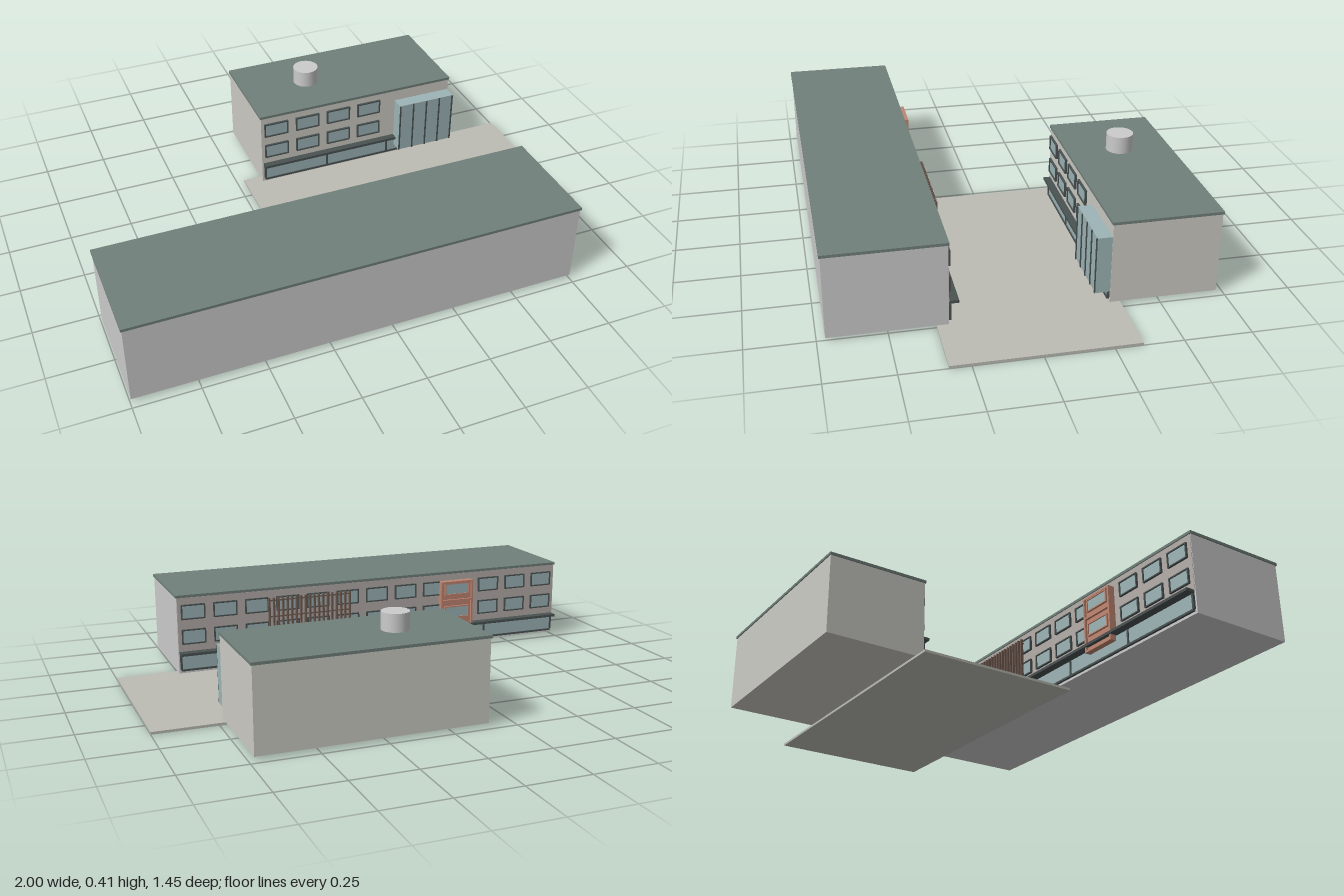
import * as THREE from 'three';

const mat = (color) => new THREE.MeshStandardMaterial({ color });
const M = {
  wall: mat(0xcccccc), facade: mat(0xb5aeaa), pale: mat(0xcccbc4), roof: mat(0x71807b),
  paving: mat(0xbcbcb5), glass: mat(0x9db4b6), frame: mat(0x4a5252),
  copper: mat(0xc08672), fin: mat(0x6e5a50), trim: mat(0x8d9290),
};

// Box given by its two limits on each axis.
function box(parent, name, material, x0, x1, y0, y1, z0, z1) {
  const mesh = new THREE.Mesh(new THREE.BoxGeometry(x1 - x0, y1 - y0, Math.abs(z1 - z0)), material);
  mesh.position.set((x0 + x1) / 2, (y0 + y1) / 2, (z0 + z1) / 2);
  mesh.name = name;
  parent.add(mesh);
  return mesh;
}

// Glazed window: four frame bars around a slightly recessed pane.
// z is the wall plane and out (+1 or -1) the way the wall faces.
function windowUnit(parent, x, y, w, h, z, out, frame = M.frame) {
  const g = new THREE.Group();
  g.name = 'window';
  const t = 0.005, d = z + out * 0.009;
  const l = x - w / 2, r = x + w / 2, b = y - h / 2, u = y + h / 2;
  box(g, 'pane', M.glass, l, r, b, u, z, z + out * 0.004);
  box(g, 'frameBottom', frame, l - t, r + t, b - t, b, z, d);
  box(g, 'frameTop', frame, l - t, r + t, u, u + t, z, d);
  box(g, 'frameSide', frame, l - t, l, b, u, z, d);
  box(g, 'frameSide', frame, r, r + t, b, u, z, d);
  parent.add(g);
}

// Ground-floor glazing in equal bays below a thin canopy.
function shopfront(parent, x0, x1, bays, z, out) {
  const g = new THREE.Group();
  g.name = 'shopfront';
  box(g, 'shopGlass', M.glass, x0, x1, 0.03, 0.09, z, z + out * 0.006);
  box(g, 'shopPlinth', M.frame, x0, x1, 0.022, 0.03, z, z + out * 0.01);
  for (let i = 0; i <= bays; i++) {
    const x = x0 + (x1 - x0) * i / bays;
    box(g, 'shopMullion', M.frame, x - 0.004, x + 0.004, 0.03, 0.09, z, z + out * 0.01);
  }
  parent.add(g);
}

const ROWS = [0.166, 0.27]; // heights of the two window rows

function longBuilding() {
  const g = new THREE.Group();
  g.name = 'longBuilding';
  const z = 0.284;
  box(g, 'walls', M.wall, -0.996, 0.754, 0.012, 0.33, z, 0.719);
  box(g, 'roof', M.roof, -1, 0.758, 0.33, 0.341, 0.279, 0.723);
  box(g, 'facadePanel', M.facade, -0.994, 0.752, 0.1, 0.329, z, z - 0.002);

  // two rows of thirteen windows, leaving out those behind the bay
  for (let i = 0; i < 13; i++) {
    const x = 0.688 - i * 0.1345;
    if (x > -0.57 && x < -0.42) continue;
    for (const y of ROWS) windowUnit(g, x, y, 0.09, 0.052, z - 0.002, -1);
  }
  shopfront(g, -0.985, 0.745, 5, z, -1);
  box(g, 'canopy', M.frame, -0.99, 0.75, 0.093, 0.104, 0.246, z);

  // projecting copper bay
  const bay = new THREE.Group();
  bay.name = 'copperBay';
  box(bay, 'bayBody', M.copper, -0.562, -0.424, 0.075, 0.297, 0.262, z);
  for (const y of [0.07, 0.21, 0.293])
    box(bay, 'bayBand', M.copper, -0.57, -0.416, y, y + 0.008, 0.252, z);
  for (const x of [-0.57, -0.424])
    box(bay, 'baySide', M.copper, x, x + 0.008, 0.07, 0.301, 0.252, z);
  for (const y of ROWS) windowUnit(bay, -0.493, y - 0.004, 0.108, 0.044, 0.262, -1, M.copper);
  g.add(bay);

  // screen of vertical sun fins
  const screen = new THREE.Group();
  screen.name = 'sunScreen';
  for (let i = 0; i < 19; i++) {
    const x = 0.013 + i * 0.0198;
    box(screen, 'fin', M.fin, x - 0.0035, x + 0.0035, 0.085, 0.3, 0.257, 0.269);
  }
  for (const y of [0.115, 0.216, 0.285])
    box(screen, 'finRail', M.fin, 0.013, 0.37, y, y + 0.005, 0.267, 0.272);
  for (const x of [0.02, 0.363])
    box(screen, 'finBracket', M.fin, x - 0.003, x + 0.003, 0.285, 0.29, 0.267, z);
  g.add(screen);
  return g;
}

function shortBuilding() {
  const g = new THREE.Group();
  g.name = 'shortBuilding';
  const z = -0.313;
  box(g, 'walls', M.pale, -0.147, 0.729, 0.012, 0.33, -0.722, z);
  box(g, 'roof', M.roof, -0.151, 0.733, 0.33, 0.341, -0.726, -0.309);

  // two rows of four windows
  for (let i = 0; i < 4; i++)
    for (const y of ROWS) windowUnit(g, -0.08 + i * 0.142, y, 0.096, 0.052, z, 1);
  shopfront(g, -0.135, 0.72, 3, z, 1);
  box(g, 'canopy', M.frame, -0.14, 0.47, 0.093, 0.104, z, -0.285);

  // tall glazed bay with mullions
  const bay = new THREE.Group();
  bay.name = 'glassBay';
  box(bay, 'bayGlass', M.glass, 0.472, 0.727, 0.055, 0.28, z, -0.257);
  for (let i = 0; i < 5; i++) {
    const x = 0.475 + i * 0.0622;
    box(bay, 'bayMullion', M.frame, x - 0.003, x + 0.003, 0.055, 0.28, -0.257, -0.253);
  }
  g.add(bay);

  // round roof vent
  const vent = new THREE.Mesh(new THREE.CylinderGeometry(0.053, 0.053, 0.07, 32), M.wall);
  vent.position.set(0.135, 0.375, -0.52);
  vent.name = 'roofVent';
  g.add(vent);
  return g;
}

export function createModel() {
  const model = new THREE.Group();
  model.name = 'courtyardBuildings';
  box(model, 'plaza', M.paving, -0.22, 1, 0, 0.01, -0.352, 0.328);
  model.add(longBuilding(), shortBuilding());
  return model;
}
